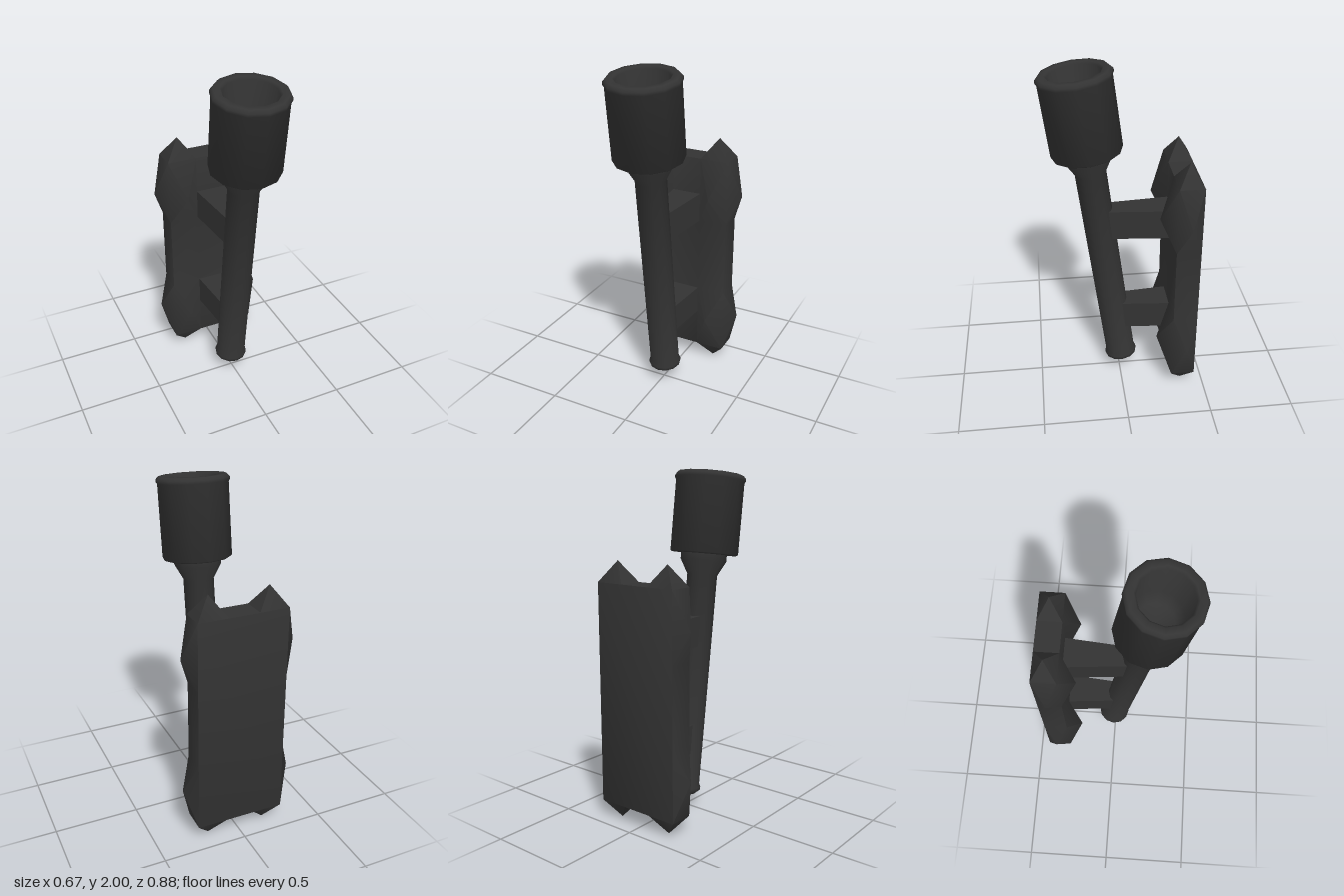
import * as THREE from 'three';
import { toCreasedNormals } from 'three/addons/utils/BufferGeometryUtils.js';

const material = new THREE.MeshStandardMaterial({ color: 0x333333 });

function addMesh(parent, name, geometry, crease) {
  const mesh = new THREE.Mesh(toCreasedNormals(geometry, crease), material);
  mesh.name = name;
  parent.add(mesh);
}

// Wall plate: a block whose corner cells are raised into pyramids; the back is flat
function plateGeometry() {
  const xs = [-0.265, -0.09, 0.09, 0.265];
  const ys = [0.11, 0.525, 0.99, 1.39];
  const spikeX = [-0.178, null, 0.178];
  const spikeY = [0.345, null, 1.17];
  const back = -0.437, front = -0.295, midZ = -0.367;
  const positions = [];

  // each triangle is wound to face the given outward direction
  const triangle = (outward, ...points) => {
    let [a, b, c] = points.map((p) => new THREE.Vector3(...p));
    const normal = b.clone().sub(a).cross(c.clone().sub(a));
    if (normal.dot(outward) < 0) [b, c] = [c, b];
    for (const p of [a, b, c]) positions.push(p.x, p.y, p.z);
  };
  const panel = (direction, [a, b, c, d], apex) => {
    const outward = new THREE.Vector3(...direction);
    if (apex) {
      [[a, b], [b, c], [c, d], [d, a]].forEach(([p, q]) => triangle(outward, p, q, apex));
    } else {
      triangle(outward, a, b, c);
      triangle(outward, a, c, d);
    }
  };

  for (let i = 0; i < 3; i++) {
    const [x0, x1, y0, y1] = [xs[i], xs[i + 1], ys[i], ys[i + 1]];
    // front cells
    for (let j = 0; j < 3; j++) {
      const [v0, v1] = [ys[j], ys[j + 1]];
      panel([0, 0, 1], [[x0, v0, front], [x1, v0, front], [x1, v1, front], [x0, v1, front]],
        i !== 1 && j !== 1 ? [spikeX[i], spikeY[j], -0.21] : null);
    }
    // bottom and top cells
    for (const [s, y, tip] of [[-1, ys[0], 0.005], [1, ys[3], 1.51]]) {
      panel([0, s, 0], [[x0, y, back], [x1, y, back], [x1, y, front], [x0, y, front]],
        i !== 1 ? [spikeX[i], tip, midZ] : null);
    }
    // side cells
    for (const s of [-1, 1]) {
      const x = s * xs[3];
      panel([s, 0, 0], [[x, y0, back], [x, y1, back], [x, y1, front], [x, y0, front]],
        i !== 1 ? [s * 0.334, spikeY[i], midZ] : null);
    }
  }
  panel([0, 0, -1],
    [[xs[0], ys[0], back], [xs[3], ys[0], back], [xs[3], ys[3], back], [xs[0], ys[3], back]]);

  const geometry = new THREE.BufferGeometry();
  geometry.setAttribute('position', new THREE.Float32BufferAttribute(positions, 3));
  return geometry;
}

// Arm: box that narrows from the plate towards the pole
function armGeometry(y0, y1, zEnd) {
  const zStart = -0.3;
  const geometry = new THREE.BoxGeometry(2, y1 - y0, zEnd - zStart);
  geometry.translate(0, (y0 + y1) / 2, (zStart + zEnd) / 2);
  const p = geometry.attributes.position;
  for (let i = 0; i < p.count; i++) {
    p.setX(i, p.getX(i) * (0.09 - 0.085 * (p.getZ(i) - zStart)));
  }
  return geometry;
}

export function createModel() {
  const group = new THREE.Group();

  addMesh(group, 'wallPlate', plateGeometry(), 0.9);
  addMesh(group, 'upperArm', armGeometry(0.99, 1.167, 0.1), 0.6);
  addMesh(group, 'lowerArm', armGeometry(0.35, 0.523, 0.01), 0.6);

  // Leaning torch: pole and cup share one tilted axis
  const torch = new THREE.Group();
  torch.name = 'torch';
  torch.position.set(0, 0.1, -0.012);
  torch.rotation.x = 0.132;
  group.add(torch);

  const lathe = (profile) =>
    new THREE.LatheGeometry(profile.map(([r, y]) => new THREE.Vector2(r, y)), 12);

  // Pole with a small rounded foot and a flared neck
  addMesh(torch, 'pole', lathe([
    [0, -0.012], [0.075, -0.008], [0.098, 0.012], [0.098, 0.03], [0.089, 0.05],
    [0.089, 1.307], [0.136, 1.393], [0.136, 1.45],
  ]), 1);

  // Hollow cup with a rounded lip
  addMesh(torch, 'cup', lathe([
    [0, 1.431], [0.192, 1.431], [0.201, 1.438], [0.201, 1.85], [0.208, 1.86],
    [0.208, 1.877], [0.193, 1.893], [0.158, 1.893], [0.146, 1.88],
    [0.14, 1.66], [0.1, 1.6], [0, 1.58],
  ]), 1);

  return group;
}
